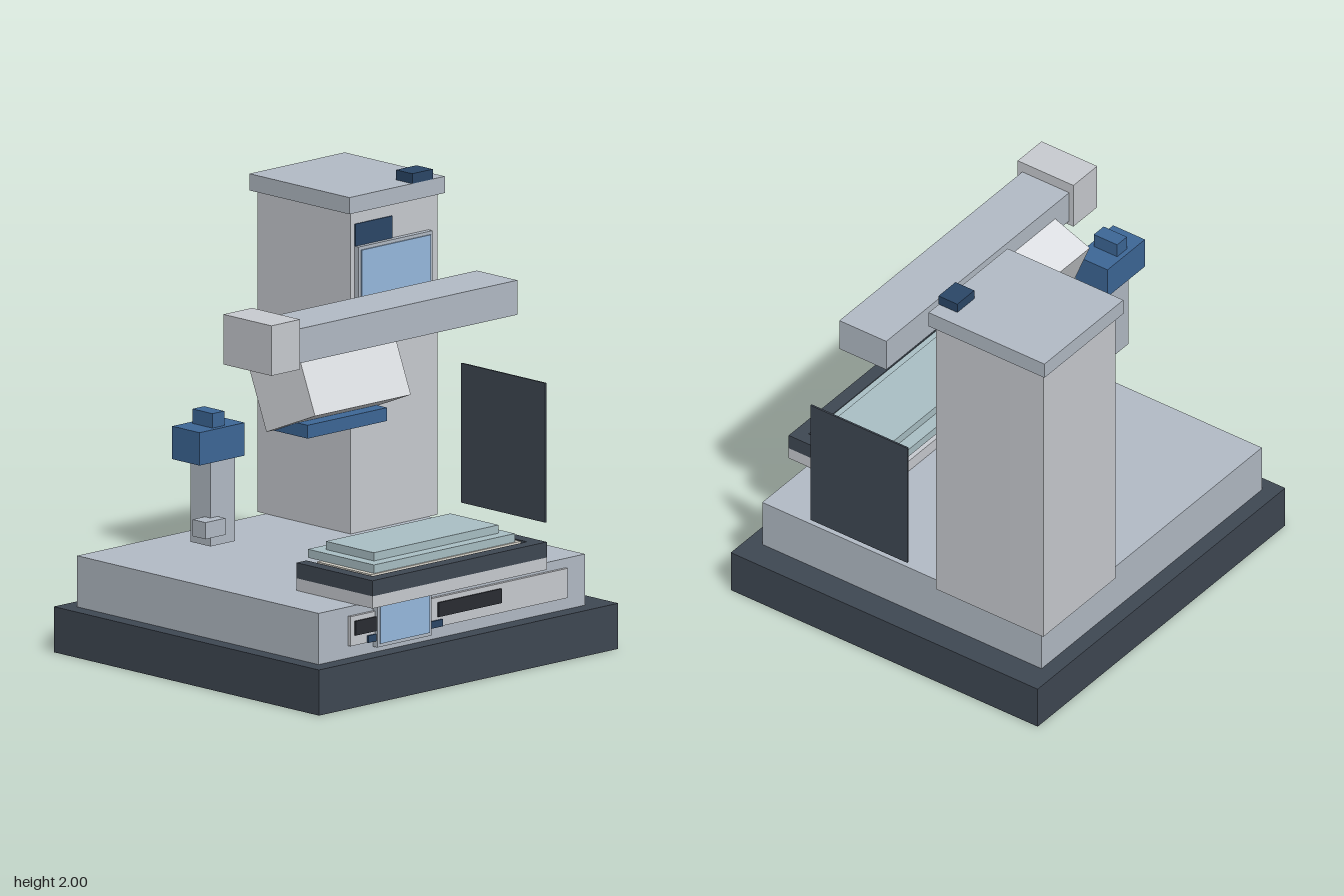
import * as THREE from 'three';

const mat = (color) => new THREE.MeshStandardMaterial({ color });

export function createModel() {
  const model = new THREE.Group();
  const dark = mat(0x3f4853), steel = mat(0xb3bcc6), light = mat(0xc9ccd1), pale = mat(0xdcdfe3);
  const blue = mat(0x3d6797), navy = mat(0x2b4768), screen = mat(0x98badf);
  const glass = mat(0xaac0c5), cream = mat(0xd8d5cb), slot = mat(0x2a2d33);

  // Box given by its extents on each axis
  const box = (name, material, [x0, x1], [y0, y1], [z0, z1]) => {
    const mesh = new THREE.Mesh(new THREE.BoxGeometry(x1 - x0, y1 - y0, z1 - z0), material);
    mesh.position.set((x0 + x1) / 2, (y0 + y1) / 2, (z0 + z1) / 2);
    mesh.name = name;
    model.add(mesh);
    return mesh;
  };

  // Base and deck
  box('base', dark, [-0.88, 0.94], [0, 0.205], [-0.845, 0.825]);
  box('deck', steel, [-0.81, 0.81], [0.205, 0.435], [-0.77, 0.75]);

  // Control strip on the front of the deck
  box('controlStrip', light, [-0.63, 0.69], [0.26, 0.393], [0.75, 0.765]);
  box('slotLeft', slot, [-0.605, -0.4], [0.305, 0.37], [0.76, 0.772]);
  box('slotRight', slot, [-0.1, 0.285], [0.305, 0.37], [0.76, 0.772]);
  box('buttonBar', navy, [-0.53, -0.075], [0.26, 0.292], [0.76, 0.773]);
  box('deckScreenFrame', steel, [-0.48, -0.15], [0.232, 0.435], [0.75, 0.778]);
  box('deckScreen', screen, [-0.465, -0.165], [0.247, 0.42], [0.77, 0.783]);

  // Column with cap, display and label
  box('column', light, [0.335, 0.865], [0.435, 1.88], [-0.82, -0.235]);
  box('columnCap', steel, [0.31, 0.89], [1.88, 1.955], [-0.845, -0.215]);
  box('capButton', navy, [0.69, 0.815], [1.955, 2], [-0.315, -0.213]);
  box('displayFrame', steel, [0.36, 0.81], [1.425, 1.725], [-0.235, -0.21]);
  box('display', screen, [0.375, 0.795], [1.44, 1.71], [-0.22, -0.203]);
  box('label', navy, [0.36, 0.585], [1.725, 1.825], [-0.24, -0.23]);
  box('sidePanel', dark, [0.863, 0.872], [0.515, 1.142], [-0.085, 0.443]);

  // Overhead arm with its end block
  box('arm', steel, [-0.555, 0.79], [1.445, 1.6], [0.09, 0.345]);
  box('armEndBlock', light, [-0.73, -0.555], [1.425, 1.65], [0.067, 0.37]);

  // Tilted head and the bar below it
  const head = box('head', pale, [-0.453, 0.13], [1.12, 1.52], [-0.035, 0.295]);
  head.rotation.x = -THREE.MathUtils.degToRad(22);
  box('headBar', blue, [-0.403, 0.08], [1.07, 1.13], [0.015, 0.26]);

  // Probe hanging at the side
  box('probePost', steel, [-0.855, -0.705], [0.635, 1.02], [-0.01, 0.115]);
  box('probeBlock', blue, [-0.943, -0.668], [1.017, 1.165], [-0.035, 0.138]);
  box('probeKnob', blue, [-0.842, -0.77], [1.165, 1.23], [-0.012, 0.115]);
  box('probeNub', steel, [-0.93, -0.81], [0.688, 0.763], [0.08, 0.163]);

  // Tray: plate, U-shaped rim, bed and two stacked glass plates
  box('trayPlate', light, [-0.577, 0.483], [0.435, 0.49], [0.37, 0.848]);
  for (const [name, x] of [['trayRailRight', -0.577], ['trayRailLeft', 0.423]])
    box(name, dark, [x, x + 0.06], [0.49, 0.56], [0.37, 0.848]);
  box('trayRailFront', dark, [-0.517, 0.423], [0.49, 0.56], [0.785, 0.848]);
  box('trayBed', cream, [-0.5, 0.41], [0.49, 0.56], [0.418, 0.76]);
  box('lowerPlate', glass, [-0.475, 0.382], [0.56, 0.598], [0.335, 0.752]);
  box('upperPlate', glass, [-0.423, 0.335], [0.598, 0.635], [0.395, 0.697]);

  return model;
}
